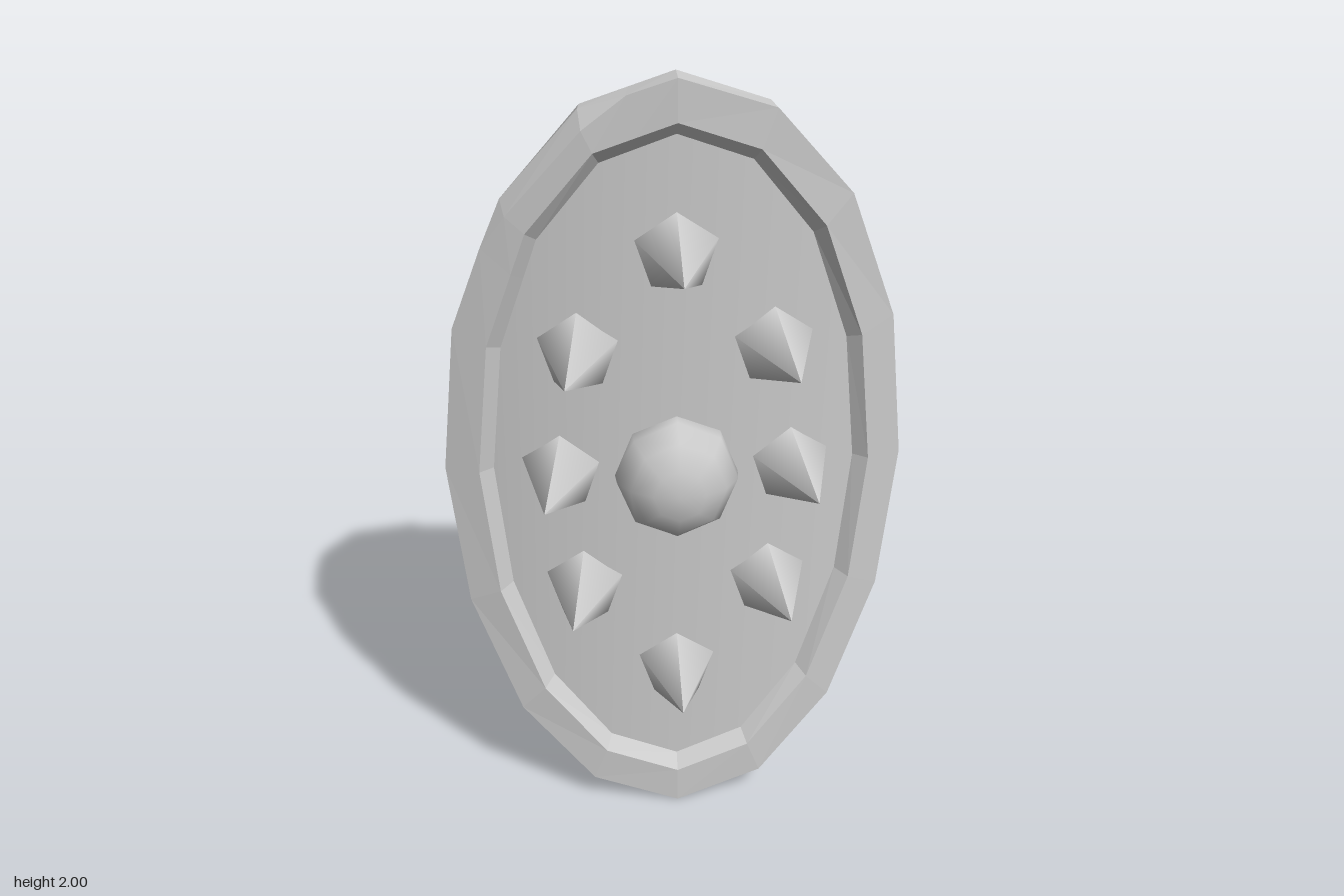
import * as THREE from 'three';

const SIDES = 16, R = 1.45, THICK = 0.065, RECESS = 0.035, FRONT = 0.055;

// Wraps a flat point (u across, y up, depth behind the front face) round a vertical cylinder
function bend(u, y, depth) {
  const a = u / R, r = R - depth;
  return new THREE.Vector3(r * Math.sin(a), y, FRONT - R + r * Math.cos(a));
}

// Corner t of a 16-sided oval ring; a fractional t lies along the straight edge
function ringPoint(t, rx, ry, depth) {
  const corner = (i) => {
    const a = (i / SIDES) * Math.PI * 2;
    return bend(rx * Math.cos(a), 1 + ry * Math.sin(a), depth);
  };
  const i = Math.floor(t);
  return corner(i).lerp(corner(i + 1), t - i);
}

// Flat-sided band through a list of rings
function bandGeometry(rings) {
  const pos = [];
  const tri = (a, b, c) => {
    if (new THREE.Triangle(a, b, c).getArea() > 1e-7) for (const p of [a, b, c]) pos.push(p.x, p.y, p.z);
  };
  for (let j = 0; j < rings.length - 1; j++) {
    const a = rings[j], b = rings[j + 1];
    for (let k = 0; k < a.length; k++) {
      const n = (k + 1) % a.length;
      tri(a[k], a[n], b[n]);
      tri(a[k], b[n], b[k]);
    }
  }
  const g = new THREE.BufferGeometry();
  g.setAttribute('position', new THREE.Float32BufferAttribute(pos, 3));
  g.computeVertexNormals();
  return g;
}

// Smooth curved oval sheet made of upright strips
function sheetGeometry(rx, ry, depth, facesBack) {
  const pos = [], index = [];
  for (let i = 0; i <= SIDES / 2; i++) {
    for (const t of [i, SIDES - i]) pos.push(...ringPoint(t, rx, ry, depth).toArray());
    if (i === SIDES / 2) break;
    const a = 2 * i, b = a + 1, c = a + 2, d = a + 3;
    if (facesBack) index.push(a, d, c, a, b, d);
    else index.push(a, c, d, a, d, b);
  }
  const g = new THREE.BufferGeometry();
  g.setAttribute('position', new THREE.Float32BufferAttribute(pos, 3));
  g.setIndex(index);
  g.computeVertexNormals();
  return g;
}

export function createModel() {
  const model = new THREE.Group();
  const smooth = new THREE.MeshStandardMaterial({ color: 0xcccccc });
  const flat = new THREE.MeshStandardMaterial({ color: 0xcccccc, flatShading: true });
  const add = (name, geometry, material = smooth) => {
    const mesh = new THREE.Mesh(geometry, material);
    mesh.name = name;
    model.add(mesh);
    return mesh;
  };

  // Rim: outer wall, raised front border and bevel into the recess, with a nick at corners 5 and 6
  const steps = [0, 1, 2, 3, 4, 4.5, 5, 6, 6.35, 7, 8, 9, 10, 11, 12, 13, 14, 15];
  const nicked = (t) => t === 5 || t === 6;
  const ring = (rx, ry, depth) => steps.map((t) => ringPoint(t, rx, ry, depth));
  const OX = 0.586, IX = 0.469, IY = 0.865;
  add('rim', bandGeometry([
    ring(OX, 1, THICK),
    steps.map((t) => ringPoint(t, OX, 1, nicked(t) ? 0.03 : 0)),
    steps.map((t) => { const s = nicked(t) ? 0.955 : 1; return ringPoint(t, OX * s, s, 0); }),
    ring(0.495, 0.9, 0),
    ring(IX, IY, RECESS),
  ]), flat);

  // Recessed front panel and the plain back
  add('frontPanel', sheetGeometry(IX, IY, RECESS, false));
  add('backPanel', sheetGeometry(OX, 1, THICK, true));

  // Central boss: half a low-poly sphere with its pole forward
  const dome = new THREE.SphereGeometry(1, 8, 4, 0, Math.PI * 2, 0, Math.PI * 0.55);
  dome.rotateX(Math.PI / 2).scale(0.155, 0.166, 0.125);
  add('boss', dome).position.set(0, 1, 0.015);

  // Five-sided spikes standing square to the curved panel
  const spike = new THREE.ConeGeometry(0.104, 0.22, 5);
  spike.rotateY(Math.PI).translate(0, 0.1, 0).rotateX(Math.PI / 2);
  const spots = [[0, 1.583], [0, 0.427]];
  for (const side of [-1, 1]) {
    for (const [x, y] of [[0.235, 1.333], [0.285, 1.005], [0.235, 0.677]]) spots.push([side * x, y]);
  }
  for (const [x, y] of spots) {
    const u = R * Math.asin(x / (R - RECESS));
    const mesh = add('spike', spike);
    mesh.position.copy(bend(u, y, RECESS));
    mesh.rotation.y = u / R;
  }

  // Grip on the back: a tube with two rounded bends
  const v = (y, z) => new THREE.Vector3(0, y, z);
  const path = new THREE.CurvePath();
  path.add(new THREE.LineCurve3(v(1.175, 0.005), v(1.175, -0.12)));
  path.add(new THREE.QuadraticBezierCurve3(v(1.175, -0.12), v(1.17, -0.198), v(1.1, -0.198)));
  path.add(new THREE.LineCurve3(v(1.1, -0.198), v(0.9, -0.198)));
  path.add(new THREE.QuadraticBezierCurve3(v(0.9, -0.198), v(0.83, -0.198), v(0.825, -0.12)));
  path.add(new THREE.LineCurve3(v(0.825, -0.12), v(0.825, 0.005)));
  add('handle', new THREE.TubeGeometry(path, 24, 0.038, 8, false));

  return model;
}
